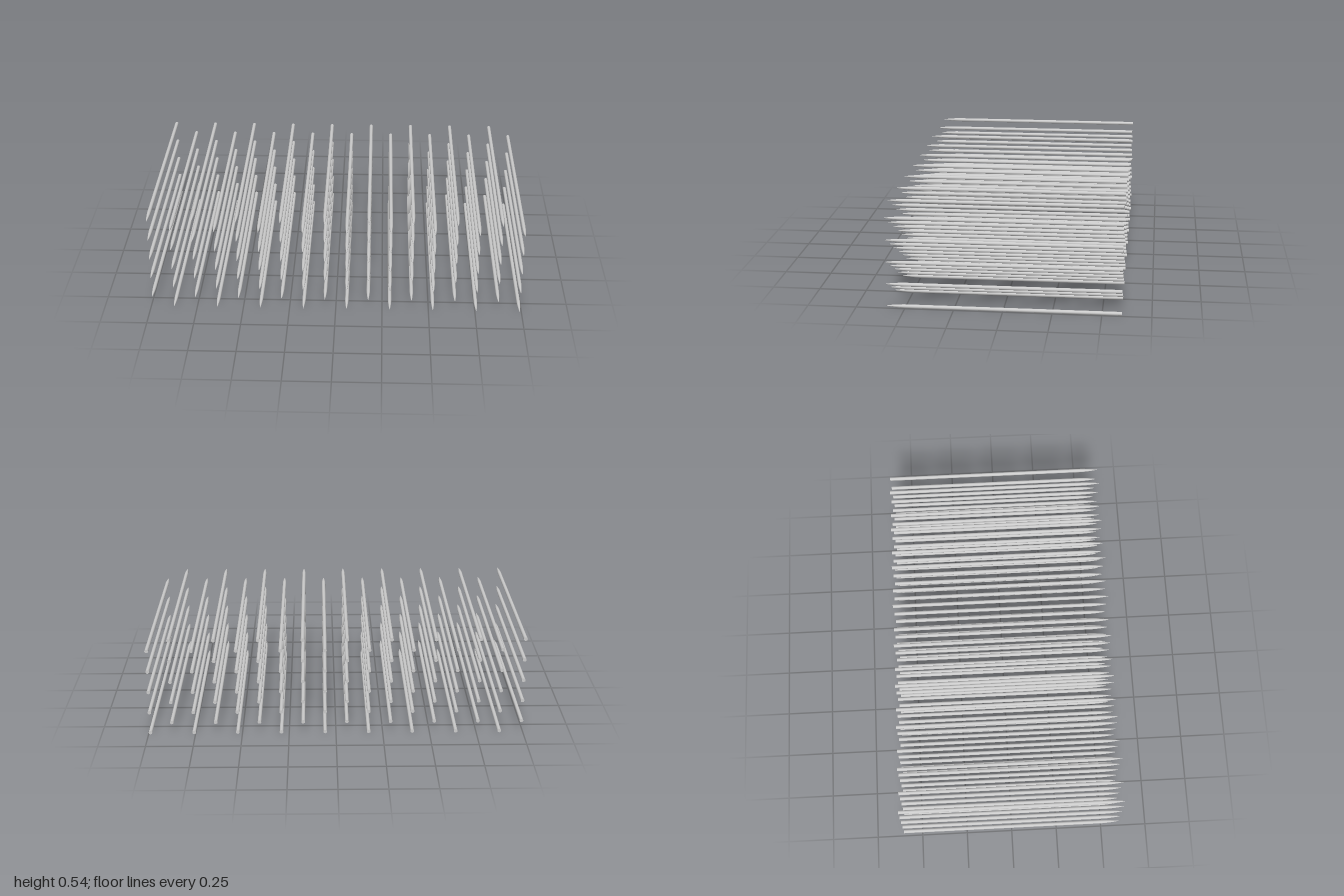
import * as THREE from 'three';
import { mergeGeometries } from 'three/addons/utils/BufferGeometryUtils.js';

const RADIUS = 0.01, HALF = 0.6, SIDES = 12;
const COLUMNS = 18, ROWS = 10, STEP_X = 1.98 / (COLUMNS - 1), STEP_Y = 0.0582;

// One rod along z: straight shaft, curved point at the front, flat back end
function spikeGeometry() {
  const profile = [
    [RADIUS, -HALF], [RADIUS, 0.5], [0.009, 0.525], [0.007, 0.55], [0.004, 0.577], [0, HALF],
  ].map(([r, z]) => new THREE.Vector2(r, z));
  const shaft = new THREE.LatheGeometry(profile, SIDES).rotateX(Math.PI / 2);
  const cap = new THREE.CircleGeometry(RADIUS, SIDES).rotateY(Math.PI).translate(0, 0, -HALF);
  return mergeGeometries([shaft, cap]);
}

export function createModel() {
  const model = new THREE.Group();
  model.name = 'spikeArray';
  const material = new THREE.MeshStandardMaterial({ color: 0xcccccc });
  const geometry = spikeGeometry();

  // Staggered rows: alternate rows fill alternate columns
  for (let row = 0; row < ROWS; row++) {
    const group = new THREE.Group();
    group.name = `spikeRow${row + 1}`;
    for (let col = (row + 1) % 2; col < COLUMNS; col += 2) {
      const spike = new THREE.Mesh(geometry, material);
      spike.name = 'spike';
      spike.position.set(-0.99 + col * STEP_X, RADIUS + row * STEP_Y, 0);
      group.add(spike);
    }
    model.add(group);
  }
  return model;
}
